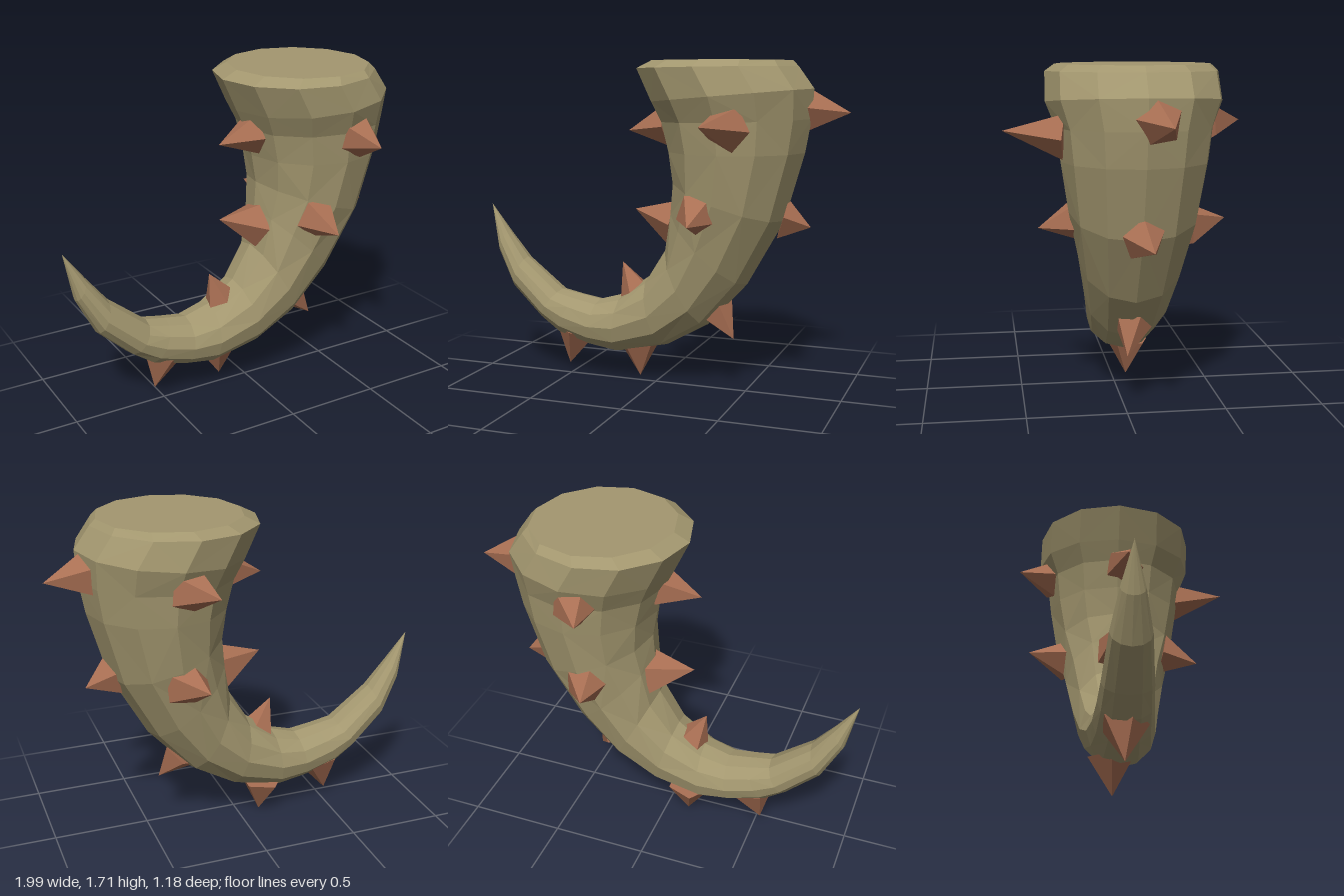
import * as THREE from 'three';

const hornMat = new THREE.MeshStandardMaterial({ color: 0xa3976f, flatShading: true });
hornMat.name = 'horn tan';
const spikeMat = new THREE.MeshStandardMaterial({ color: 0xa96f53, flatShading: true });
spikeMat.name = 'spike brown';

const SIDES = 12, ZC = -0.045;

// Cross-sections from tip to rim: inner x, y, outer x, y, half width in z
const SECTIONS = [
  [-1, 0.92, -1, 0.92, 0],
  [-0.89, 0.77, -0.95, 0.66, 0.06],
  [-0.78, 0.63, -0.85, 0.46, 0.1],
  [-0.57, 0.46, -0.68, 0.3, 0.125],
  [-0.46, 0.44, -0.57, 0.22, 0.135],
  [-0.34, 0.42, -0.38, 0.165, 0.15],
  [-0.2, 0.46, -0.22, 0.14, 0.17],
  [-0.05, 0.57, 0.05, 0.2, 0.195],
  [0.06, 0.75, 0.28, 0.33, 0.225],
  [0.085, 0.95, 0.49, 0.56, 0.265],
  [0.095, 1.1, 0.68, 0.9, 0.32],
  [0.07, 1.25, 0.78, 1.25, 0.36],
  [0.03, 1.4, 0.81, 1.42, 0.38],
  [-0.02, 1.5, 0.82, 1.57, 0.43],
  [-0.1, 1.67, 0.74, 1.68, 0.425],
  [-0.02, 1.71, 0.71, 1.71, 0.38],
];

// Curved body skinned over the cross-sections, closed with a flat cap
function hornGeometry() {
  const pos = [], idx = [];
  for (const [ix, iy, ox, oy, hz] of SECTIONS) {
    for (let j = 0; j < SIDES; j++) {
      const a = (j / SIDES) * Math.PI * 2;
      const k = (1 + Math.cos(a)) / 2;
      pos.push(ix + (ox - ix) * k, iy + (oy - iy) * k, ZC + hz * Math.sin(a));
    }
  }
  for (let i = 0; i < SECTIONS.length - 1; i++) {
    for (let j = 0; j < SIDES; j++) {
      const a = i * SIDES + j, b = i * SIDES + (j + 1) % SIDES;
      const c = a + SIDES, d = b + SIDES;
      // alternate the diagonals for a chiselled surface
      if ((i + j) % 2) idx.push(a, c, b, b, c, d);
      else idx.push(a, c, d, a, d, b);
    }
  }
  const last = (SECTIONS.length - 1) * SIDES, center = pos.length / 3;
  pos.push(0.35, 1.71, ZC);
  for (let j = 0; j < SIDES; j++) idx.push(center, last + (j + 1) % SIDES, last + j);
  const geo = new THREE.BufferGeometry();
  geo.setAttribute('position', new THREE.Float32BufferAttribute(pos, 3));
  geo.setIndex(idx);
  geo.computeVertexNormals();
  return geo;
}

// Spikes: name, base centre, tip, base radius
const SPIKES = [
  ['upperLeftSpike', [0.78, 1.46, -0.1], [0.99, 1.45, -0.13], 0.115],
  ['upperRightSpike', [0.06, 1.38, -0.01], [-0.15, 1.35, 0.0], 0.11],
  ['upperFrontSpike', [0.48, 1.38, 0.3], [0.42, 1.4, 0.59], 0.115],
  ['upperBackSpike', [0.36, 1.43, -0.39], [0.27, 1.43, -0.59], 0.12],
  ['middleLeftSpike', [0.67, 0.91, -0.05], [0.81, 0.87, -0.08], 0.11],
  ['middleRightSpike', [0.1, 0.87, -0.04], [-0.13, 0.93, -0.04], 0.13],
  ['middleFrontSpike', [0.3, 0.95, 0.22], [0.31, 0.91, 0.42], 0.115],
  ['middleBackSpike', [0.36, 0.92, -0.3], [0.3, 0.94, -0.52], 0.125],
  ['lowerInnerSpike', [-0.12, 0.46, -0.04], [-0.2, 0.64, -0.03], 0.1],
  ['lowerOuterSpike', [0.32, 0.41, -0.05], [0.43, 0.27, -0.01], 0.1],
  ['bottomSpike', [-0.13, 0.19, -0.09], [-0.12, 0, -0.08], 0.12],
  ['bottomTipSpike', [-0.48, 0.24, -0.05], [-0.53, 0.04, -0.05], 0.12],
];

function spike([name, base, tip, radius]) {
  const from = new THREE.Vector3(...base), to = new THREE.Vector3(...tip);
  const dir = to.clone().sub(from);
  const height = dir.length();
  const geo = new THREE.ConeGeometry(radius, height, 5);
  geo.translate(0, height / 2, 0);
  const mesh = new THREE.Mesh(geo, spikeMat);
  mesh.quaternion.setFromUnitVectors(new THREE.Vector3(0, 1, 0), dir.normalize());
  mesh.position.copy(from);
  mesh.name = name;
  return mesh;
}

export function createModel() {
  const model = new THREE.Group();
  model.name = 'spikedHorn';
  const horn = new THREE.Mesh(hornGeometry(), hornMat);
  horn.name = 'horn';
  const spikes = new THREE.Group();
  spikes.name = 'spikes';
  for (const s of SPIKES) spikes.add(spike(s));
  model.add(horn, spikes);
  return model;
}
